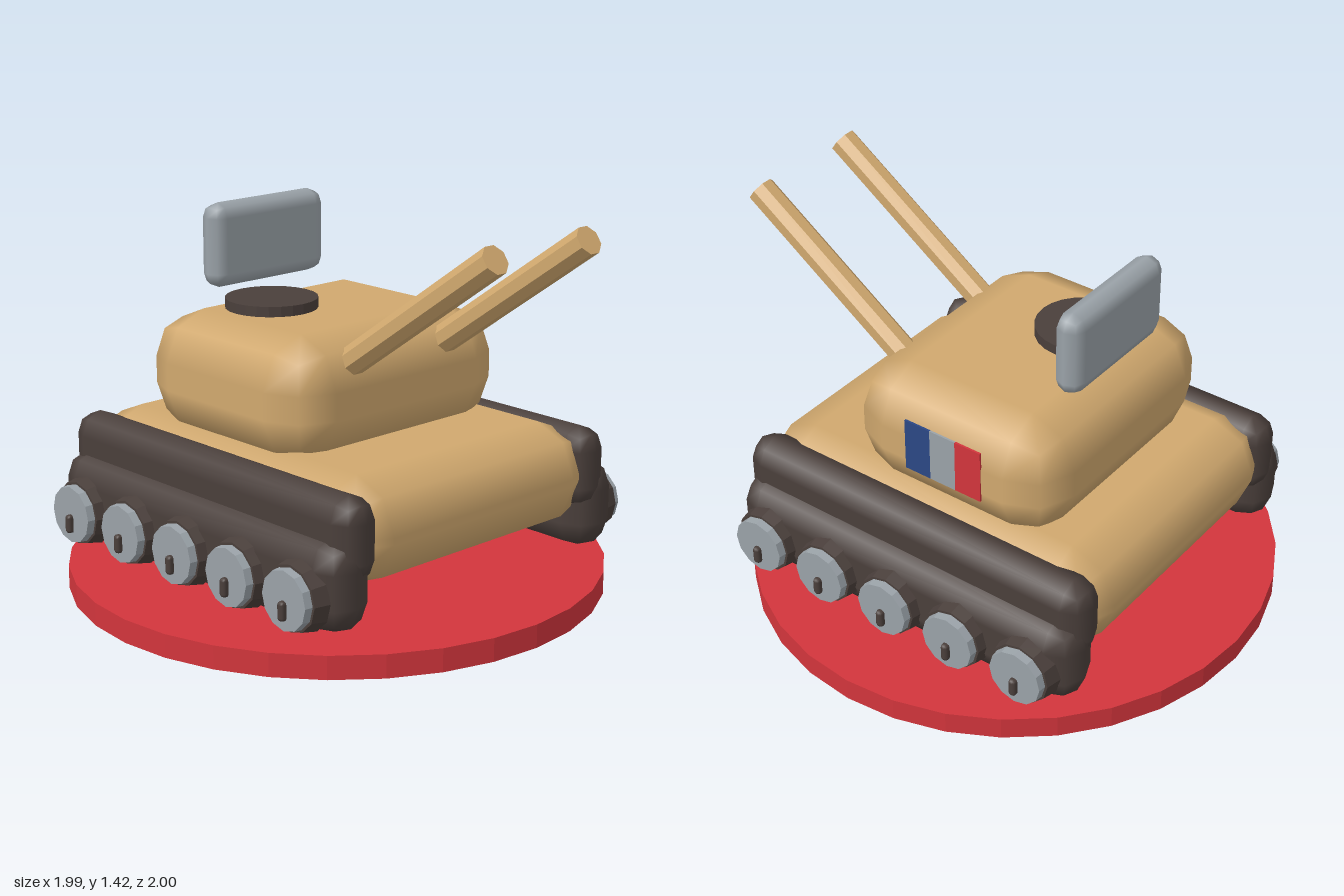
import * as THREE from 'three';
import { RoundedBoxGeometry } from 'three/addons/geometries/RoundedBoxGeometry.js';

const paint = (name, color) => {
  const m = new THREE.MeshStandardMaterial({ color });
  m.name = name;
  return m;
};

export function createModel() {
  const tan = paint('sand', 0xd0a86e);
  const dark = paint('dark brown', 0x4a3f3b);
  const grey = paint('light grey', 0x9aa2a8);
  const red = paint('red', 0xd2353c);
  const blue = paint('blue', 0x2b4785);

  const model = new THREE.Group();
  model.name = 'toyTank';

  const add = (name, geometry, material, x, y, z, parent = model) => {
    const mesh = new THREE.Mesh(geometry, material);
    mesh.name = name;
    mesh.position.set(x, y, z);
    parent.add(mesh);
    return mesh;
  };
  // box with a two-facet, smoothly shaded bevel
  const bevelBox = (w, h, d, r) => new RoundedBoxGeometry(w, h, d, 1, r);
  // cylinder with faceted sides
  const prism = (rTop, rBottom, h, sides) => {
    const g = new THREE.CylinderGeometry(rTop, rBottom, h, sides).toNonIndexed();
    g.computeVertexNormals();
    return g;
  };

  // round base
  add('base', prism(0.995, 0.995, 0.086, 32), red, 0, 0.043, -0.003);

  // hull and turret
  add('hull', bevelBox(1.26, 0.385, 1.51, 0.18), tan, 0, 0.432, -0.003);
  add('turret', bevelBox(1.05, 0.455, 0.877, 0.178), tan, 0, 0.788, -0.073);
  add('hatch', prism(0.17, 0.17, 0.08, 24), dark, -0.15, 1.013, -0.188);
  add('rearPlate', bevelBox(0.545, 0.315, 0.11, 0.054), grey, 0, 1.22, -0.403);

  // twin raised guns, each running from inside the turret to its muzzle
  const start = new THREE.Vector3(0, 0.865, 0.235);
  const tip = new THREE.Vector3(0, 1.38, 0.972);
  const run = tip.clone().sub(start);
  for (const x of [-0.228, 0.228]) {
    const g = prism(0.054, 0.054, run.length(), 8);
    g.rotateY(Math.PI / 8);
    const middle = start.clone().add(tip).multiplyScalar(0.5);
    const barrel = add('gunBarrel', g, tan, x, middle.y, middle.z);
    barrel.quaternion.setFromUnitVectors(new THREE.Vector3(0, 1, 0), run.clone().normalize());
  }

  // three-stripe panel on the left turret side
  [blue, grey, red].forEach((material, i) => {
    add('sideStripe', new THREE.BoxGeometry(0.008, 0.205, 0.109), material, 0.525, 0.807, 0.026 - i * 0.109);
  });

  // tracks and wheels on both sides
  for (const side of [-1, 1]) {
    const track = new THREE.Group();
    track.name = side > 0 ? 'leftTrack' : 'rightTrack';
    model.add(track);
    add('upperTrack', bevelBox(0.17, 0.31, 1.51, 0.085), dark, side * 0.575, 0.45, -0.003, track);
    add('lowerTrack', bevelBox(0.215, 0.34, 1.51, 0.107), dark, side * 0.617, 0.3, -0.003, track);
    for (let i = -2; i <= 2; i++) {
      const wheel = new THREE.Group();
      wheel.name = 'wheel';
      wheel.position.set(side * 0.7, 0.268, i * 0.292);
      track.add(wheel);
      const turn = side * -Math.PI / 2;
      add('tyre', prism(0.118, 0.13, 0.06, 12), dark, side * 0.03, 0, 0, wheel).rotation.z = turn;
      add('rim', prism(0.106, 0.115, 0.09, 12), grey, side * 0.045, 0, 0, wheel).rotation.z = turn;
      add('hubPin', bevelBox(0.05, 0.07, 0.03, 0.012), dark, side * 0.085, -0.034, 0, wheel);
    }
  }
  return model;
}
